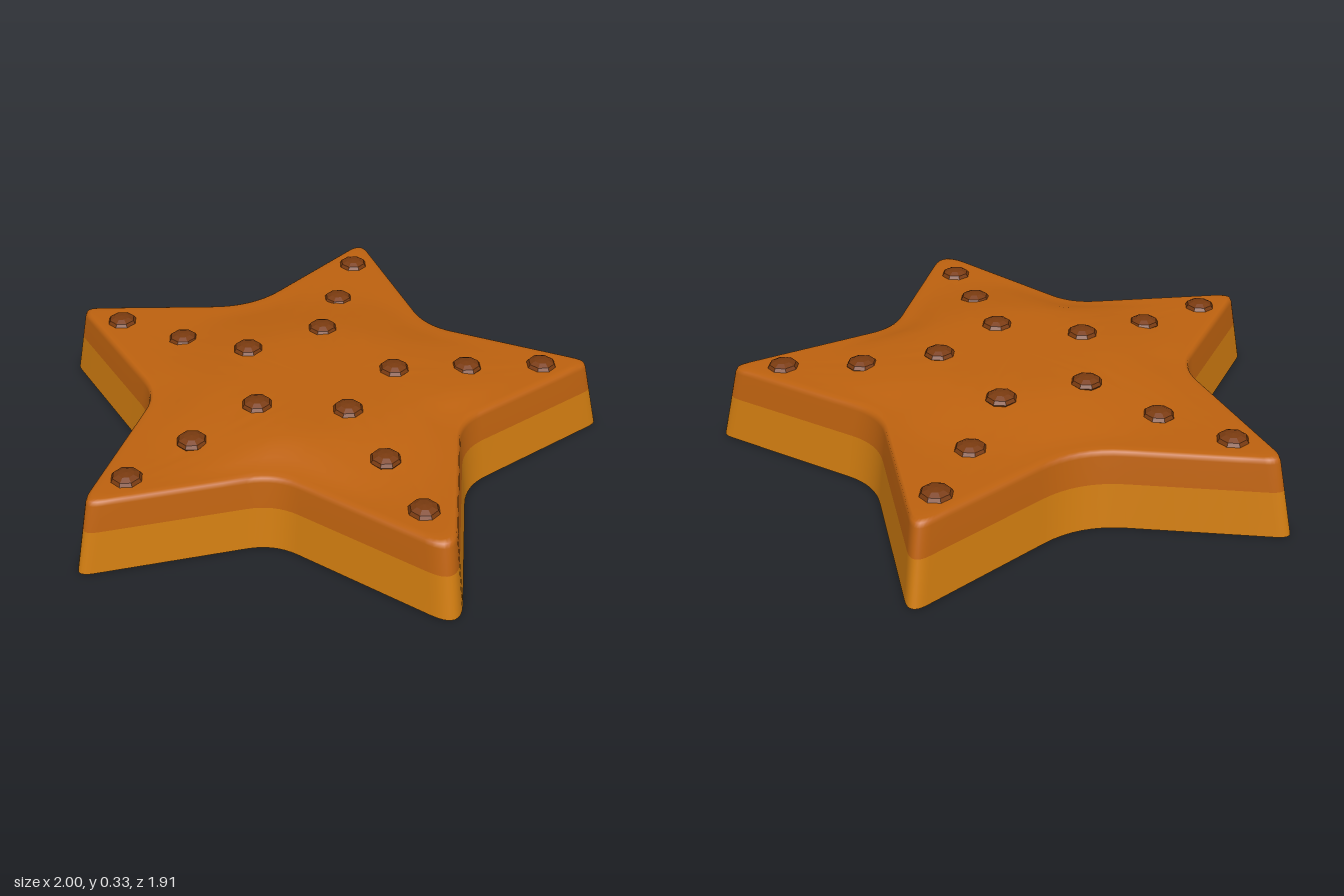
import * as THREE from 'three';

// Star corners for x >= 0 as [x, z, rounding length], from front tip to back notch
const HALF = [
  [0, 1.0, 0.115], [0.366, 0.376, 0.095], [1.03, 0.245, 0.073],
  [0.57, -0.268, 0.108], [0.637, -0.982, 0.072], [0, -0.698, 0.153],
];
const CORNERS = [...HALF, ...HALF.slice(1, 5).reverse().map(([x, z, r]) => [-x, z, r])];
const CENTRE_Z = -0.03;
const RIM_Y = 0.27;

// Rounded star outline, moved inwards by d, at height y
function starRing(d, y) {
  const n = CORNERS.length;
  const pts = CORNERS.map(([x, z]) => new THREE.Vector2(x, z));
  const normals = pts.map((p, i) => {
    const e = pts[(i + 1) % n].clone().sub(p).normalize();
    return new THREE.Vector2(-e.y, e.x);
  });
  const moved = pts.map((p, i) => {
    const a = normals[(i + n - 1) % n], b = normals[i];
    return p.clone().addScaledVector(a.clone().add(b), -d / (1 + a.dot(b)));
  });
  const toward = (p, q, len) => p.clone().addScaledVector(q.clone().sub(p).normalize(), len);
  const arcs = moved.map((p, i) => new THREE.QuadraticBezierCurve(
    toward(p, moved[(i + n - 1) % n], CORNERS[i][2]), p,
    toward(p, moved[(i + 1) % n], CORNERS[i][2])).getPoints(8));
  const ring = [];
  arcs.forEach((arc, i) => {
    ring.push(...arc);
    const a = arc[8], b = arcs[(i + 1) % n][0];
    for (let k = 1; k < 6; k++) ring.push(a.clone().lerp(b, k / 6));
  });
  return ring.map((p) => new THREE.Vector3(p.x, y, p.y));
}

// Height of the gently domed top
function domeY(x, z) {
  const r = Math.hypot(x, z - CENTRE_Z);
  return RIM_Y + 0.04 * THREE.MathUtils.clamp((0.62 - r) / 0.3, 0, 1);
}

// Skin between successive rings
function loft(rings) {
  const n = rings[0].length, index = [];
  for (let r = 0; r < rings.length - 1; r++) {
    for (let i = 0; i < n; i++) {
      const a = r * n + i, b = r * n + (i + 1) % n;
      index.push(a, b, b + n, a, b + n, a + n);
    }
  }
  const g = new THREE.BufferGeometry().setFromPoints(rings.flat());
  g.setIndex(index);
  g.computeVertexNormals();
  return g;
}

export function createModel() {
  const group = new THREE.Group();
  const amber = new THREE.MeshStandardMaterial({ color: 0xd07c10 });
  const caramel = new THREE.MeshStandardMaterial({ color: 0xbe620f });
  const brown = new THREE.MeshStandardMaterial({ color: 0x7a3b10 });
  amber.name = 'amber';
  caramel.name = 'caramel';
  brown.name = 'brown';
  const add = (name, geometry, material) => {
    const mesh = new THREE.Mesh(geometry, material);
    mesh.name = name;
    group.add(mesh);
    return mesh;
  };

  // Lower half of the sloping wall and the flat underside
  const base = starRing(0, 0), middle = starRing(0.018, 0.155);
  add('lowerWall', loft([base, middle]), amber);
  add('underside', loft([base.map(() => new THREE.Vector3(0, 0, CENTRE_Z)), base]), amber);

  // Upper wall, softened rim and domed top
  const rim = starRing(0.042, RIM_Y);
  const dome = [0.96, 0.91, 0.84, 0.75, 0.65, 0.55, 0.45, 0.33, 0.2, 0].map((s) => rim.map((p) => {
    const x = p.x * s, z = CENTRE_Z + (p.z - CENTRE_Z) * s;
    const lift = Math.min(1, (1 - s) * 4);
    return new THREE.Vector3(x, RIM_Y + (domeY(x, z) - RIM_Y) * lift, z);
  }));
  add('upperBody', loft([middle, starRing(0.029, 0.25), starRing(0.033, 0.265), rim, ...dome]), caramel);

  // Low faceted studs along the arms
  const studs = [
    [-0.49, -0.765], [0.49, -0.78], [-0.325, -0.55], [0.32, -0.565], [-0.155, -0.33],
    [0.15, -0.345], [-0.265, 0.01], [0.262, 0.015], [-0.53, 0.075], [0.525, 0.075],
    [-0.79, 0.16], [0.785, 0.165], [0.005, 0.17], [0.005, 0.45], [0.005, 0.717],
  ];
  const studGeo = new THREE.SphereGeometry(0.054, 8, 6).scale(1, 0.45, 1).toNonIndexed();
  studGeo.computeVertexNormals();
  studs.forEach(([x, z], i) => {
    add('stud' + (i + 1), studGeo, brown).position.set(x, domeY(x, z), z);
  });
  return group;
}
